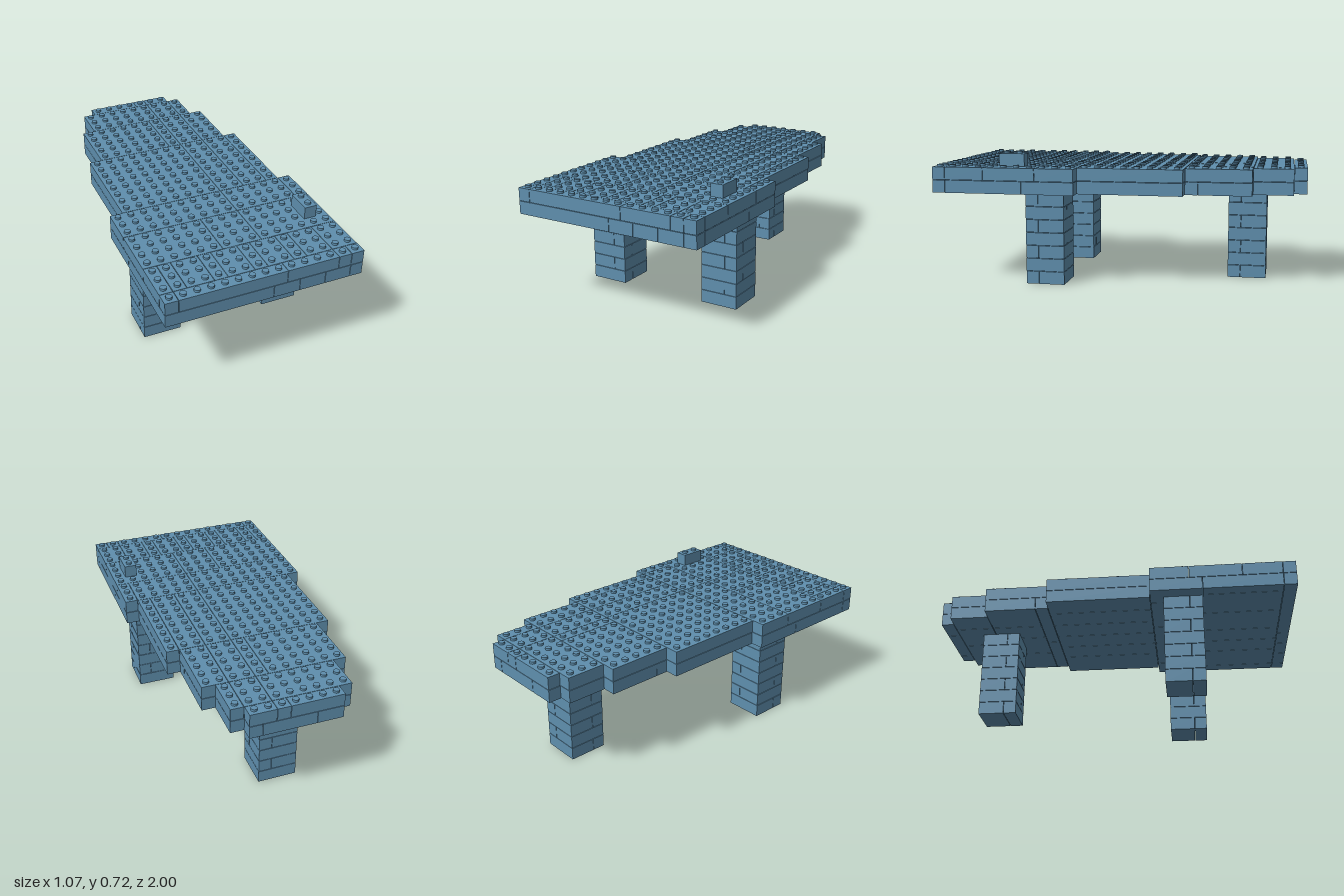
import * as THREE from 'three';
import { mergeGeometries } from 'three/addons/utils/BufferGeometryUtils.js';

const U = 1 / 14;        // one stud pitch, also one brick height
const GAP = 0.0025;      // seam between neighbouring bricks
const STUD_R = 0.0165, STUD_H = 0.012;

// Grid columns 0..15 run along x, rows 0..28 run from back to front
const colX = c => (c - 7.5) * U;
const rowZ = r => (r - 14) * U;

function brick(c0, c1, r0, r1, layer) {
  const g = new THREE.BoxGeometry((c1 - c0) * U - GAP, U - GAP, (r1 - r0) * U - GAP);
  return g.translate((colX(c0) + colX(c1)) / 2, (layer + 0.5) * U, (rowZ(r0) + rowZ(r1)) / 2);
}

function stud(c, r, layer) {
  const g = new THREE.CylinderGeometry(STUD_R, STUD_R, STUD_H, 16);
  return g.translate(colX(c + 0.5), layer * U + STUD_H / 2 - GAP / 2, rowZ(r + 0.5));
}

// Each deck step: first row, last row, first column, last column
const steps = [[0, 1, 4, 11], [1, 4, 3, 12], [4, 9, 2, 13], [9, 17, 1, 14], [17, 28, 0, 15]];

// Bands of bricks: first row, last row, first column, column seams..., last column
const lowerBands = [
  [0, 1, 4, 6, 10, 11], [1, 4, 3, 5, 8, 12], [4, 8, 2, 5, 7, 10, 13], [8, 9, 2, 8, 13],
  [9, 17, 1, 3, 5, 7, 9, 11, 14], [17, 21, 0, 2, 6, 9, 13, 15],
  [21, 27, 0, 1, 4, 7, 9, 11, 14, 15], [27, 28, 0, 8, 10, 12, 14, 15],
];
const upperBands = [
  [0, 1, 4, 8, 9, 11], [1, 4, 3, 9, 11, 12], [4, 9, 2, 8, 9, 11, 13],
  [9, 17, 1, 9, 11, 13, 14], [17, 20, 0, 9, 14, 15], [20, 24, 0, 6, 9, 15],
  [24, 27, 0, 1, 2, 4, 5, 7, 8, 10, 11, 13, 15], [27, 28, 0, 1, 9, 13, 14, 15],
];

function deckLayer(bands, layer) {
  const parts = [];
  for (const [r0, r1, ...cols] of bands)
    for (let i = 0; i + 1 < cols.length; i++) parts.push(brick(cols[i], cols[i + 1], r0, r1, layer));
  return mergeGeometries(parts);
}

// Square leg, three studs wide, with the brick joint turning on every layer
function legGeometry(c, r) {
  const parts = [];
  for (let layer = 0; layer < 7; layer++) {
    if (layer % 2) parts.push(brick(c, c + 2, r, r + 3, layer), brick(c + 2, c + 3, r, r + 3, layer));
    else parts.push(brick(c, c + 3, r, r + 2, layer), brick(c, c + 3, r + 2, r + 3, layer));
  }
  return mergeGeometries(parts);
}

export function createModel() {
  const model = new THREE.Group();
  model.name = 'brickTable';
  const blue = new THREE.MeshStandardMaterial({ color: 0x5f8fae });
  blue.name = 'sandBlue';

  const add = (name, geometry) => {
    const mesh = new THREE.Mesh(geometry, blue);
    mesh.name = name;
    model.add(mesh);
  };

  // Legs: two at the front, one at the back
  add('frontLeftLeg', legGeometry(11, 18));
  add('frontRightLeg', legGeometry(1, 18));
  add('backLeg', legGeometry(6, 3));

  // Stepped deck of two brick layers
  add('lowerDeck', deckLayer(lowerBands, 7));
  add('upperDeck', deckLayer(upperBands, 8));

  // Studs over the whole deck
  const studs = [];
  for (const [r0, r1, c0, c1] of steps)
    for (let r = r0; r < r1; r++)
      for (let c = c0; c < c1; c++) studs.push(stud(c, r, 9));
  add('deckStuds', mergeGeometries(studs));

  // Single small brick on top
  add('topBrick', brick(13, 14, 21, 23, 9));
  add('topBrickStuds', mergeGeometries([stud(13, 21, 10), stud(13, 22, 10)]));

  return model;
}
